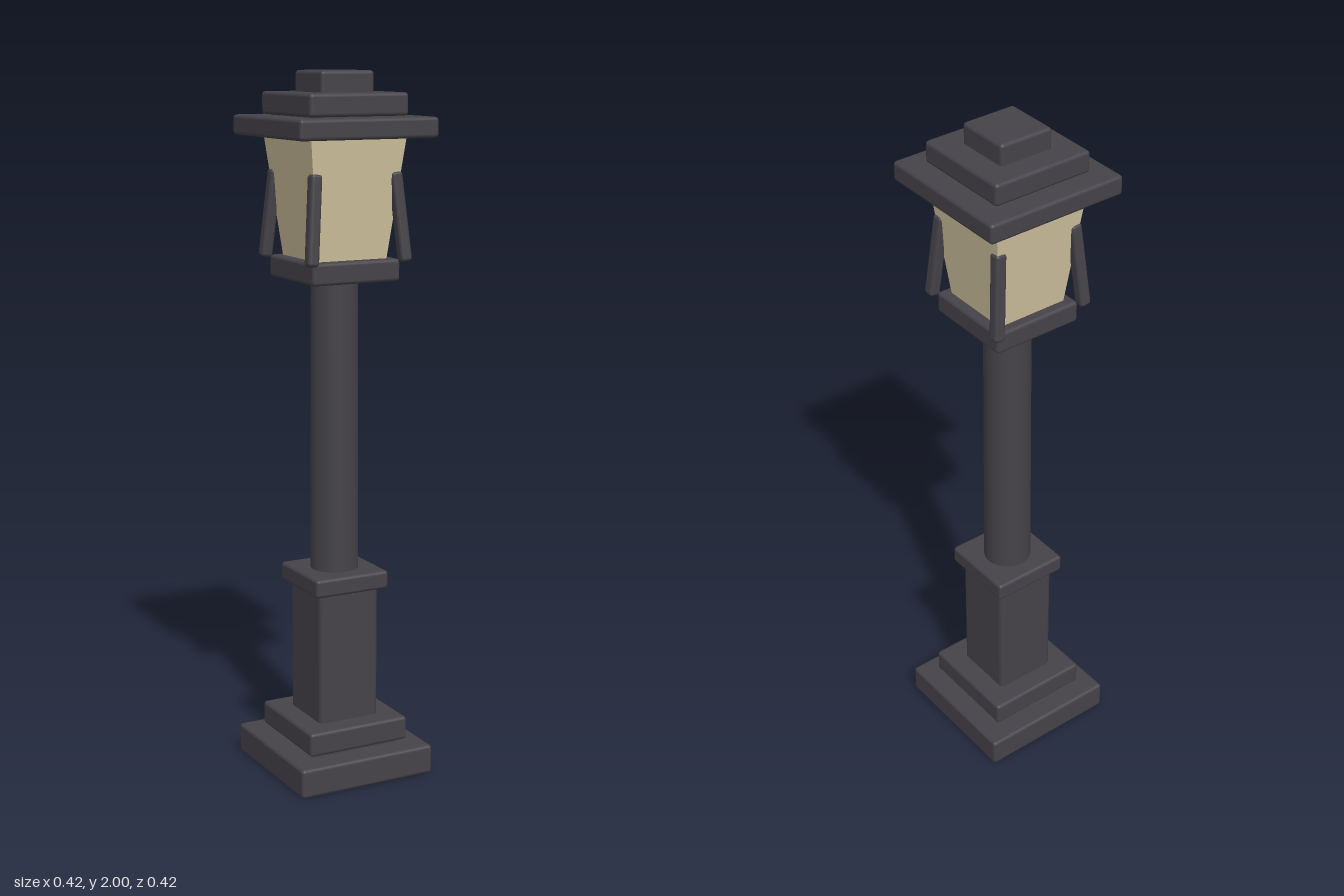
import * as THREE from 'three';
import { RoundedBoxGeometry } from 'three/addons/geometries/RoundedBoxGeometry.js';

export function createModel() {
  const model = new THREE.Group();
  model.name = 'streetLamp';
  const iron = new THREE.MeshStandardMaterial({ name: 'dark iron', color: 0x454349 });
  const pane = new THREE.MeshStandardMaterial({ name: 'warm glass', color: 0xd2c3a0 });

  const add = (name, geometry, material) => {
    const mesh = new THREE.Mesh(geometry, material);
    mesh.name = name;
    model.add(mesh);
    return mesh;
  };

  // Square slab with softened edges, given its half width and bottom and top heights
  const slab = (name, half, y0, y1, radius = 0.01) => {
    add(name, new RoundedBoxGeometry(half * 2, y1 - y0, half * 2, 3, radius), iron)
      .position.y = (y0 + y1) / 2;
  };

  // Stepped foot and pedestal
  slab('baseSlab', 0.21, 0, 0.085);
  slab('baseJoint', 0.135, 0.07, 0.11);
  slab('baseStep', 0.156, 0.095, 0.164);
  slab('pedestal', 0.094, 0.15, 0.56, 0.015);
  slab('pedestalCollar', 0.115, 0.545, 0.598);

  // Round post
  add('post', new THREE.CylinderGeometry(0.066, 0.069, 0.87, 24), iron).position.y = 1.015;

  // Lantern seat and flared glass
  slab('lanternSeat', 0.135, 1.43, 1.492);
  const glass = new THREE.CylinderGeometry(0.147 * Math.SQRT2, 0.105 * Math.SQRT2, 0.36, 4).toNonIndexed();
  glass.rotateY(Math.PI / 4);
  glass.computeVertexNormals();
  add('lanternGlass', glass, pane).position.y = 1.66;

  // Corner brackets leaning in towards the glass
  const up = new THREE.Vector3(0, 1, 0);
  for (const sx of [-1, 1]) {
    for (const sz of [-1, 1]) {
      const low = new THREE.Vector3(sx * 0.144, 1.485, sz * 0.144);
      const high = new THREE.Vector3(sx * 0.122, 1.73, sz * 0.122);
      const dir = high.clone().sub(low);
      const bar = add('cornerBracket', new RoundedBoxGeometry(0.034, dir.length(), 0.034, 3, 0.01), iron);
      bar.position.copy(low).add(high).multiplyScalar(0.5);
      bar.quaternion.setFromUnitVectors(up, dir.normalize());
    }
  }

  // Stepped roof
  slab('roofEave', 0.21, 1.822, 1.878);
  slab('roofJoint', 0.13, 1.86, 1.9);
  slab('roofStep', 0.15, 1.88, 1.942);
  slab('roofCap', 0.081, 1.93, 2);

  return model;
}
